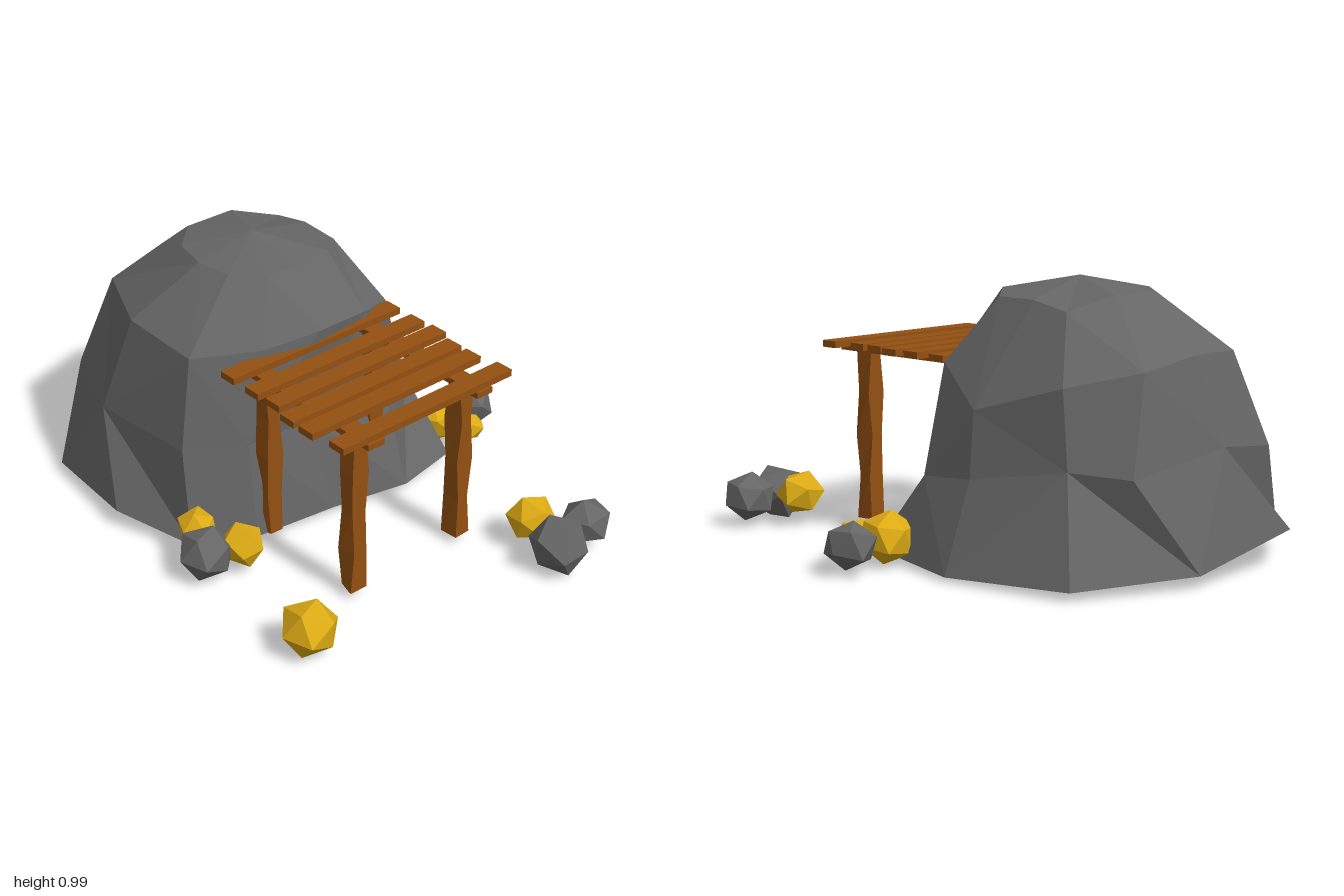
import * as THREE from 'three';

const mat = (color) => new THREE.MeshStandardMaterial({ color, flatShading: true });
const STONE = mat(0x666666), WOOD = mat(0x945012), GOLD = mat(0xdcaa14);

function add(parent, name, geometry, material, x = 0, y = 0, z = 0) {
  const mesh = new THREE.Mesh(geometry, material);
  mesh.name = name;
  mesh.position.set(x, y, z);
  parent.add(mesh);
  return mesh;
}

// Rings of [x, z, own height if not the ring's], from the front towards +x and round the back
const RINGS = [
  { y: 0.04, pts: [[-0.1, 0.13], [0.2, 0.19], [0.46, 0.14], [0.55, -0.3, 0.025], [0.46, -0.78], [0.04, -0.98, 0.055],
    [-0.43, -1, 0.14], [-0.7, -0.75, 0.05], [-0.75, -0.32, 0.08], [-0.64, -0.02], [-0.43, 0.09]] },
  { y: 0.4, pts: [[-0.15, 0.05], [0.19, 0.08, 0.37], [0.41, -0.06, 0.32], [0.43, -0.3, 0.34], [0.34, -0.66], [0.22, -0.84, 0.38],
    [-0.17, -0.91, 0.45], [-0.53, -0.83], [-0.66, -0.5], [-0.62, -0.08], [-0.42, 0.04]] },
  { y: 0.74, pts: [[-0.12, 0.07, 0.76], [0.12, 0.04], [0.28, -0.03, 0.7], [0.39, -0.28, 0.57], [0.32, -0.62, 0.67],
    [0.12, -0.8, 0.72], [-0.12, -0.83, 0.76], [-0.42, -0.75], [-0.57, -0.42, 0.76], [-0.56, -0.1], [-0.33, 0.02]] },
  { y: 0.95, pts: [[-0.1, -0.07], [0.06, -0.1], [0.16, -0.18, 0.93], [0.17, -0.35, 0.93], [0.17, -0.5, 0.9], [0, -0.57],
    [-0.2, -0.57], [-0.31, -0.46], [-0.34, -0.32], [-0.32, -0.18], [-0.22, -0.09]] },
];

function moundGeometry() {
  const n = RINGS[0].pts.length, pos = [], idx = [];
  RINGS.forEach((ring) => ring.pts.forEach(([x, z, y = ring.y]) => pos.push(x, y, z)));
  const top = pos.length / 3, last = top - n;
  pos.push(-0.1, 0.997, -0.32, -0.1, 0.035, -0.35);
  for (let i = 0; i < n; i++) {
    const j = (i + 1) % n;
    for (let r = 0; r < RINGS.length - 1; r++) {
      const a = r * n + i, b = r * n + j, c = b + n, d = a + n;
      // alternate the diagonals for a natural facet pattern
      if ((i + r) % 2) idx.push(a, b, c, a, c, d);
      else idx.push(a, b, d, b, c, d);
    }
    idx.push(last + i, last + j, top, j, i, top + 1);
  }
  const g = new THREE.BufferGeometry();
  g.setAttribute('position', new THREE.Float32BufferAttribute(pos, 3));
  g.setIndex(idx);
  g.computeVertexNormals();
  return g;
}

// Square post with uneven, hewn sides
function postGeometry(seed) {
  const g = new THREE.BoxGeometry(0.06, 0.64, 0.06, 1, 4, 1);
  const p = g.attributes.position;
  for (let i = 0; i < p.count; i++) {
    const x = p.getX(i), y = p.getY(i), z = p.getZ(i);
    const k = y * 23 + Math.sign(x) * 2 + Math.sign(z) * 5 + seed;
    p.setX(i, x + 0.009 * Math.sin(k));
    p.setZ(i, z + 0.007 * Math.cos(k * 1.7));
  }
  g.computeVertexNormals();
  return g;
}

// Irregular twenty-sided lump; the shift depends on direction so corners stay joined
function lumpGeometry(r, seed) {
  const g = new THREE.IcosahedronGeometry(r, 0);
  const p = g.attributes.position, v = new THREE.Vector3();
  for (let i = 0; i < p.count; i++) {
    v.fromBufferAttribute(p, i);
    const k = (v.x * 3.1 + v.y * 5.3 + v.z * 7.7) / r;
    v.multiplyScalar(1 + 0.09 * Math.sin(k + seed));
    p.setXYZ(i, v.x, v.y, v.z);
  }
  g.rotateX(seed * 0.4);
  g.rotateY(seed * 0.7 + 0.4);
  g.scale(1, 0.92, 1);
  g.computeVertexNormals();
  return g;
}

export function createModel() {
  const model = new THREE.Group();
  model.name = 'mineEntrance';
  add(model, 'rockMound', moundGeometry(), STONE);

  // Timber canopy: four posts, two beams, six planks
  const canopy = new THREE.Group();
  canopy.name = 'canopy';
  model.add(canopy);
  for (const x of [-0.36, 0.13]) {
    add(canopy, 'frontPost', postGeometry(x * 9), WOOD, x, 0.36, 0.523);
    add(canopy, 'backPost', postGeometry(x * 5 + 2), WOOD, x, 0.36, 0.075);
    add(canopy, 'beam', new THREE.BoxGeometry(0.07, 0.022, 0.64), WOOD, x - 0.008, 0.681, 0.327);
  }
  for (const [x, z] of [[-0.12, 0.035], [-0.12, 0.165], [-0.115, 0.27], [-0.14, 0.375], [-0.14, 0.47], [-0.122, 0.602]])
    add(canopy, 'plank', new THREE.BoxGeometry(0.76, 0.025, 0.07), WOOD, x, 0.703, z);

  // Loose stones and gold nuggets: x, y, z, radius
  const lumps = {
    stone: [[-0.685, 0.11, 0.125, 0.105], [0.695, 0.11, 0.01, 0.1], [0.28, 0.11, 0.885, 0.115], [0.445, 0.12, 0.86, 0.097]],
    nugget: [[-0.68, 0.11, 0.675, 0.107], [-0.64, 0.14, 0.02, 0.077], [-0.555, 0.11, 0.165, 0.085],
      [0.52, 0.11, 0.01, 0.1], [0.575, 0.11, 0.13, 0.062], [0.3, 0.13, 0.73, 0.092]],
  };
  for (const [name, list] of Object.entries(lumps))
    list.forEach(([x, y, z, r], i) =>
      add(model, name, lumpGeometry(r, i * 1.9), name === 'stone' ? STONE : GOLD, x, y, z));
  return model;
}
